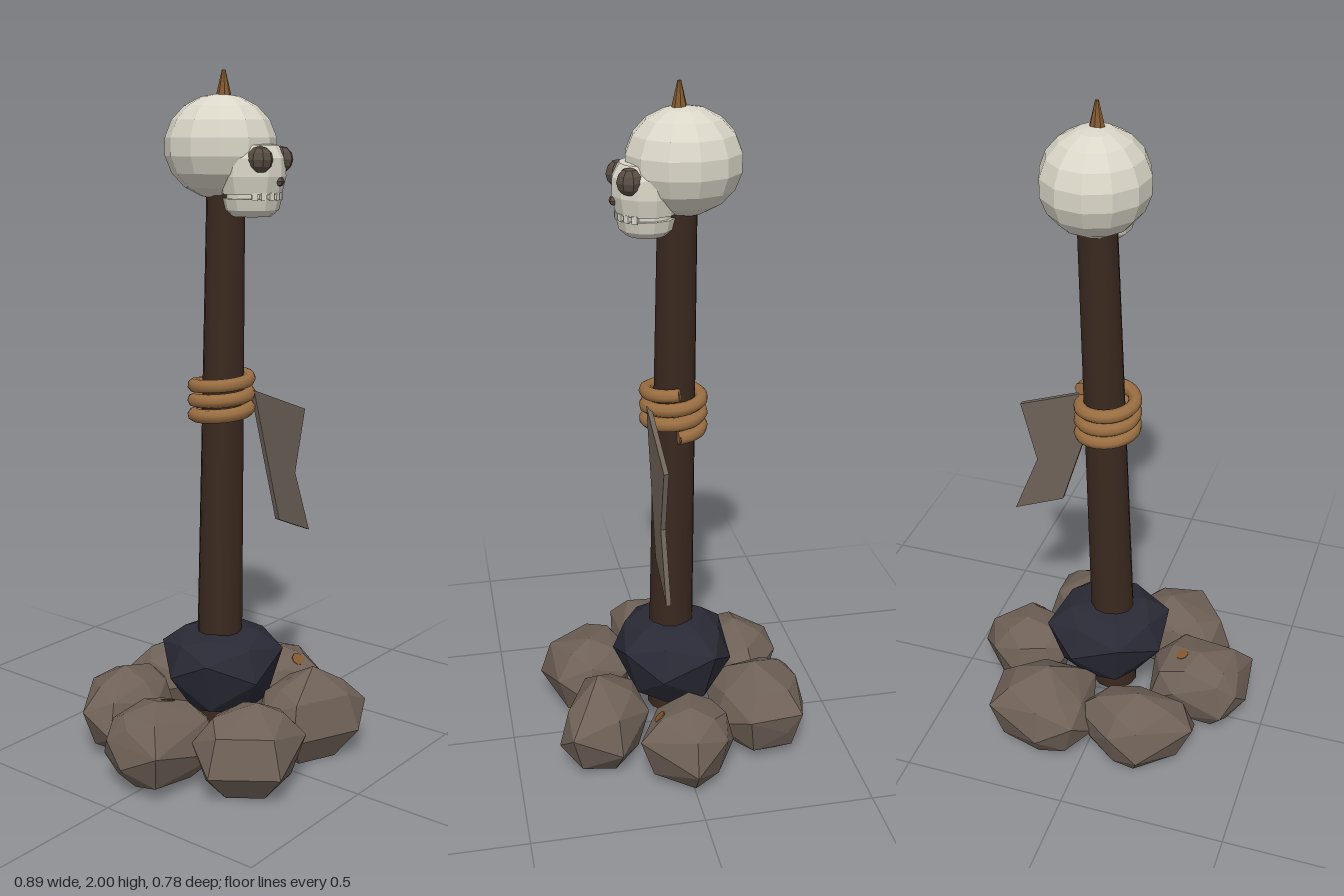
import * as THREE from 'three';
import { ConvexGeometry } from 'three/addons/geometries/ConvexGeometry.js';

const mat = (name, color, extra = {}) => {
  const m = new THREE.MeshStandardMaterial({ color, ...extra });
  m.name = name;
  return m;
};

export function createModel() {
  const flat = { flatShading: true };
  const bone = mat('bone', 0xdad6c8, flat);
  const socket = mat('socket', 0x584d44, flat);
  const wood = mat('darkWood', 0x3a291f);
  const rope = mat('rope', 0x9a6e42);
  const rust = mat('rust', 0x83592f, flat);
  const cloth = mat('cloth', 0x6e6359, flat);
  const stone = mat('stone', 0x6f6157, flat);
  const slate = mat('slate', 0x292a35, flat);

  const model = new THREE.Group();
  const add = (name, geo, material, parent = model, pos = [0, 0, 0]) => {
    const m = new THREE.Mesh(geo, material);
    m.name = name;
    m.position.set(...pos);
    parent.add(m);
    return m;
  };

  // Faceted boulder: hull of an x/z outline, shrunken rings above and below it, and a peak.
  // levels = heights of the [bottom, waist, shoulder, peak]
  const boulder = (outline, levels, peak) => {
    const [bottom, waist, shoulder, top] = levels;
    const n = outline.length;
    const cx = outline.reduce((s, p) => s + p[0], 0) / n;
    const cz = outline.reduce((s, p) => s + p[1], 0) / n;
    const points = [new THREE.Vector3(peak[0], top, peak[1])];
    outline.forEach(([x, z], i) => {
      const odd = i % 2;
      const ring = (k, y) => points.push(new THREE.Vector3(cx + (x - cx) * k, y, cz + (z - cz) * k));
      ring(1, waist + (odd ? 0.035 : -0.03));
      ring(odd ? 0.62 : 0.8, shoulder + (odd ? 0.012 : -0.012));
      ring(odd ? 0.75 : 0.55, bottom + (odd ? 0.03 : 0));
    });
    return new ConvexGeometry(points);
  };

  // Ring of base stones
  const stones = [
    ['backLeftStone', [0.01, 0.13, 0.21, 0.27], [0.13, -0.23],
      [[0.12, -0.395], [0.287, -0.345], [0.28, -0.3], [0.303, -0.183], [0.187, -0.095], [0.02, -0.1], [-0.03, -0.29], [0.01, -0.37]]],
    ['backRightStone', [0.01, 0.12, 0.2, 0.25], [-0.16, -0.24],
      [[-0.196, -0.376], [-0.1, -0.362], [-0.03, -0.305], [0.035, -0.26], [-0.03, -0.15], [-0.15, -0.121], [-0.32, -0.155], [-0.336, -0.25]]],
    ['rightStone', [0.015, 0.12, 0.21, 0.245], [-0.29, 0],
      [[-0.39, -0.114], [-0.235, -0.116], [-0.15, -0.09], [-0.13, 0.06], [-0.19, 0.155], [-0.437, 0.124], [-0.446, 0], [-0.427, -0.07]]],
    ['leftStone', [0.01, 0.13, 0.21, 0.24], [0.29, 0],
      [[0.275, -0.136], [0.37, -0.095], [0.443, 0.007], [0.33, 0.155], [0.2, 0.11], [0.13, -0.02], [0.18, -0.1]]],
    ['frontRightStone', [0.005, 0.12, 0.21, 0.25], [-0.13, 0.24],
      [[-0.339, 0.226], [-0.29, 0.13], [-0.17, 0.1], [-0.06, 0.13], [0.005, 0.25], [-0.045, 0.35], [-0.22, 0.388]]],
    ['frontLeftStone', [0, 0.12, 0.21, 0.28], [0.13, 0.25],
      [[-0.015, 0.285], [-0.015, 0.18], [0.03, 0.11], [0.16, 0.1], [0.287, 0.2], [0.273, 0.345], [0.19, 0.376]]],
  ].map(([name, levels, peak, outline]) => add(name, boulder(outline, levels, peak), stone));

  // Small rust stains on the two side stones
  for (const [i, x, z] of [[2, -0.235, -0.005], [3, 0.28, 0.09]]) {
    const ray = new THREE.Raycaster(new THREE.Vector3(x, 1, z), new THREE.Vector3(0, -1, 0));
    const hit = ray.intersectObject(stones[i])[0];
    if (!hit) continue;
    const stain = add('stain', new THREE.CylinderGeometry(0.02, 0.02, 0.004, 8), rust);
    stain.position.copy(hit.point);
    stain.quaternion.setFromUnitVectors(new THREE.Vector3(0, 1, 0), hit.face.normal);
  }

  // Dark stone wedging the pole
  add('darkStone', boulder(
    [[-0.17, -0.05], [-0.165, 0.08], [-0.05, 0.175], [0.1, 0.16], [0.185, 0.06], [0.18, -0.1], [0.08, -0.17], [-0.07, -0.165]],
    [0.14, 0.29, 0.365, 0.395], [0.01, -0.01]), slate);

  // Leaning pole
  const foot = new THREE.Vector3(-0.01, 0.075, 0.003);
  const head = new THREE.Vector3(0.039, 1.7, -0.01);
  const pole = add('pole', new THREE.CylinderGeometry(0.055, 0.07, foot.distanceTo(head), 12), wood);
  pole.position.copy(foot).lerp(head, 0.5);
  pole.quaternion.setFromUnitVectors(new THREE.Vector3(0, 1, 0), head.clone().sub(foot).normalize());

  // Rope wound three turns around the pole
  const turns = [];
  for (let i = 0; i <= 48; i++) {
    const a = (i / 48) * Math.PI * 6;
    turns.push(new THREE.Vector3(0.012 + 0.079 * Math.cos(a), 1.015 + 0.13 * i / 48, -0.004 - 0.079 * Math.sin(a)));
  }
  add('ropeWrap', new THREE.TubeGeometry(new THREE.CatmullRomCurve3(turns), 96, 0.02, 8), rope);
  for (const end of [turns[0], turns[48]]) {
    add('ropeEnd', new THREE.CylinderGeometry(0.02, 0.02, 0.004, 8), rope, model, end.toArray()).rotation.x = Math.PI / 2;
  }

  // Torn pennant
  const pennant = new THREE.Shape([
    [0.055, 1.105], [0.183, 0.69], [0.342, 0.622], [0.264, 0.82], [0.312, 1.01],
  ].map(([x, y]) => new THREE.Vector2(x, y)));
  add('pennant', new THREE.ExtrudeGeometry(pennant, { depth: 0.014, bevelEnabled: false }), cloth, model, [0, 0, 0.068]);

  // Skull, turned slightly to its left
  const skull = new THREE.Group();
  skull.name = 'skull';
  skull.position.set(0.036, 1.791, -0.027);
  skull.rotation.y = 0.1;
  model.add(skull);

  add('cranium', new THREE.SphereGeometry(1, 12, 9), bone, skull).scale.set(0.152, 0.146, 0.163);

  // Rounded face and jaw, turned on a lathe
  const lathe = pts => new THREE.LatheGeometry(pts.map(([r, y]) => new THREE.Vector2(r, y)), 12);
  add('face', lathe([[0, -0.128], [0.086, -0.128], [0.097, -0.08], [0.095, -0.03], [0.075, 0.005], [0, 0.015]]),
    bone, skull, [0, 0, 0.102]);
  add('jaw', lathe([[0, -0.193], [0.055, -0.19], [0.076, -0.172], [0.084, -0.14], [0, -0.14]]),
    bone, skull, [0, 0, 0.104]);
  add('mouth', new THREE.CylinderGeometry(0.072, 0.072, 0.016, 12), bone, skull, [0, -0.134, 0.102]);

  // Teeth along the front of the mouth
  for (let i = -3; i <= 3; i++) {
    const a = i * 0.3;
    const tooth = add('tooth', new THREE.BoxGeometry(0.016, 0.02, 0.014), bone, skull,
      [0.08 * Math.sin(a), -0.134, 0.102 + 0.08 * Math.cos(a)]);
    tooth.rotation.y = a;
  }

  // Eyes and nose
  for (const s of [-1, 1]) {
    add(s < 0 ? 'rightEye' : 'leftEye', new THREE.SphereGeometry(0.037, 8, 6), socket, skull, [s * 0.055, -0.034, 0.163]);
  }
  add('nose', new THREE.SphereGeometry(0.014, 6, 4), socket, skull, [0, -0.093, 0.193]);

  // Spike through the crown
  add('spike', new THREE.CylinderGeometry(0.005, 0.024, 0.08, 8), rust, model, [0.035, 1.96, -0.015]);

  return model;
}
